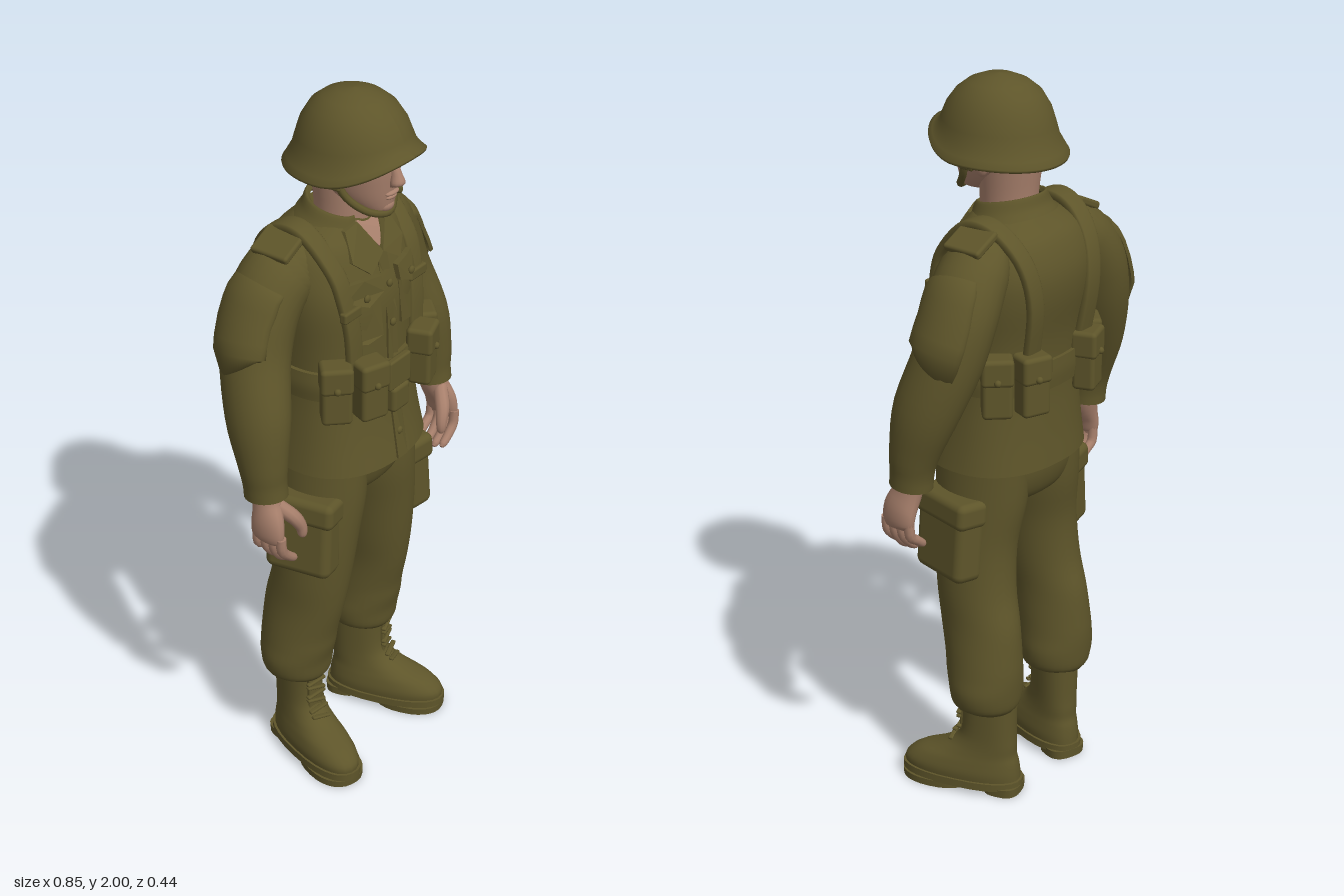
import * as THREE from 'three';
import { RoundedBoxGeometry } from 'three/addons/geometries/RoundedBoxGeometry.js';

const olive = new THREE.MeshStandardMaterial({ color: 0x5e552a, side: THREE.DoubleSide });
olive.name = 'olive cloth';
const skin = new THREE.MeshStandardMaterial({ color: 0xa8806c, side: THREE.DoubleSide });
skin.name = 'skin';

// Rows are [x, y, z, rx, rz]. Rings are smoothed between rows; flat keeps them level.
function loft(rows, { flat = false, seg = 24, sub = 4, n = 2, arc = null, s = 1 } = {}) {
  const mid = new THREE.CatmullRomCurve3(rows.map(r => new THREE.Vector3(r[0] * s, r[1], r[2])), false, 'catmullrom');
  const rad = new THREE.CatmullRomCurve3(rows.map(r => new THREE.Vector3(r[3], r[4], 0)), false, 'catmullrom');
  const N = (rows.length - 1) * sub, pos = [], idx = [];
  const cols = arc ? seg + 1 : seg, [a0, a1] = arc || [0, Math.PI * 2];
  const curve = v => Math.sign(v) * Math.abs(v) ** (2 / n);
  for (let i = 0; i <= N; i++) {
    const c = mid.getPoint(i / N), r = rad.getPoint(i / N);
    const t = flat ? new THREE.Vector3(0, 1, 0) : mid.getTangent(i / N);
    const u = new THREE.Vector3(1, 0, 0).addScaledVector(t, -t.x).normalize();
    const w = u.clone().cross(t);
    for (let j = 0; j < cols; j++) {
      const a = a0 + (a1 - a0) * j / seg, k = arc && (j === 0 || j === seg) ? 0.92 : 1;
      const p = c.clone().addScaledVector(u, curve(Math.cos(a)) * r.x * k).addScaledVector(w, curve(Math.sin(a)) * r.y * k);
      pos.push(p.x, p.y, p.z);
    }
  }
  for (let i = 0; i < N; i++) for (let j = 0; j < seg; j++) {
    const a = i * cols + j, b = i * cols + (j + 1) % cols, c = a + cols, d = b + cols;
    idx.push(a, c, b, b, c, d);
  }
  // end caps with their own corners
  if (!arc) for (const i of [0, N]) {
    const base = pos.length / 3, c = mid.getPoint(i / N);
    for (let j = 0; j < seg; j++) pos.push(...pos.slice((i * seg + j) * 3, (i * seg + j) * 3 + 3));
    pos.push(c.x, c.y, c.z);
    for (let j = 0; j < seg; j++) {
      const k = base + (j + 1) % seg;
      idx.push(base + seg, ...(i ? [k, base + j] : [base + j, k]));
    }
  }
  const g = new THREE.BufferGeometry();
  g.setAttribute('position', new THREE.Float32BufferAttribute(pos, 3));
  g.setIndex(idx);
  g.computeVertexNormals();
  return g;
}

function bend(geo, rule) {
  const p = geo.attributes.position, v = new THREE.Vector3();
  for (let i = 0; i < p.count; i++) {
    v.fromBufferAttribute(p, i);
    rule(v);
    p.setXYZ(i, v.x, v.y, v.z);
  }
  geo.computeVertexNormals();
  return geo;
}

const TORSO = [
  [0, 0.98, 0.005, 0.225, 0.182], [0, 1.08, 0, 0.21, 0.168], [0, 1.2, -0.005, 0.198, 0.158], [0, 1.33, -0.012, 0.2, 0.16],
  [0, 1.45, -0.025, 0.212, 0.17], [0, 1.53, -0.035, 0.21, 0.16], [0, 1.6, -0.035, 0.185, 0.135], [0, 1.64, -0.028, 0.13, 0.105],
  [0, 1.665, -0.022, 0.085, 0.088]];
const POW = 2.3;

// Depth of the jacket surface at x, y on the front (1) or back (-1)
function jacketZ(x, y, side = 1) {
  let i = 0;
  while (i < TORSO.length - 2 && TORSO[i + 1][1] < y) i++;
  const f = THREE.MathUtils.clamp((y - TORSO[i][1]) / (TORSO[i + 1][1] - TORSO[i][1]), 0, 1);
  const [, , z, rx, rz] = TORSO[i].map((v, k) => THREE.MathUtils.lerp(v, TORSO[i + 1][k], f));
  return z + side * rz * Math.max(0, 1 - Math.abs(x / rx) ** POW) ** (1 / POW);
}

export function createModel() {
  const model = new THREE.Group();
  const add = (name, geo, mat = olive, parent = model) => {
    const m = new THREE.Mesh(geo, mat);
    m.name = name;
    parent.add(m);
    return m;
  };
  const ball = (name, x, y, z, rx, ry, rz, mat) =>
    add(name, new THREE.SphereGeometry(1, 16, 12).scale(rx, ry, rz).translate(x, y, z), mat);
  const box = (w, h, d, r = 0.012) => new RoundedBoxGeometry(w, h, d, 3, r);
  // Plate that follows the chest
  const plate = (name, pts, depth, mat = olive) => {
    const shape = new THREE.Shape(pts.map(p => new THREE.Vector2(...p)));
    const g = new THREE.ExtrudeGeometry(shape, { depth, bevelEnabled: false });
    return add(name, bend(g, v => { v.z += jacketZ(v.x, v.y) + 0.001; }), mat);
  };
  const button = (x, y) => ball('button', x, y, jacketZ(x, y) + 0.008, 0.011, 0.011, 0.007);

  // Head and neck
  add('neck', loft([[0, 1.58, -0.01, 0.072, 0.075], [0, 1.68, -0.005, 0.072, 0.078], [0, 1.78, -0.01, 0.08, 0.085]], { flat: true }), skin);
  add('head', loft([[0, 1.69, 0.105, 0.025, 0.025], [0, 1.7, 0.085, 0.045, 0.056], [0, 1.73, 0.055, 0.07, 0.092], [0, 1.77, 0.035, 0.088, 0.117],
    [0, 1.82, 0.03, 0.1, 0.126], [0, 1.88, 0.028, 0.1, 0.126], [0, 1.94, 0.028, 0.07, 0.09]], { flat: true, seg: 32 }), skin);
  add('nose', loft([[0, 1.85, 0.142, 0.011, 0.01], [0, 1.805, 0.158, 0.014, 0.016], [0, 1.78, 0.163, 0.02, 0.02], [0, 1.768, 0.152, 0.014, 0.01]], { flat: true, seg: 12 }), skin);
  ball('upper lip', 0, 1.749, 0.146, 0.026, 0.007, 0.012, skin);
  ball('lower lip', 0, 1.737, 0.142, 0.022, 0.007, 0.012, skin);
  ball('chin', 0, 1.71, 0.125, 0.028, 0.02, 0.022, skin);
  ball('brow', 0, 1.843, 0.125, 0.07, 0.012, 0.032, skin);

  // Helmet: the brim lifts at the front
  const dome = [[0, 1.95], [0.1, 1.9], [0.13, 1.84], [0.16, 1.803], [0.17, 1.797], [0.172, 1.804], [0.162, 1.82], [0.148, 1.845],
    [0.14, 1.875], [0.128, 1.915], [0.105, 1.955], [0.075, 1.98], [0.04, 1.995], [0, 2]];
  add('helmet', bend(new THREE.LatheGeometry(dome.map(p => new THREE.Vector2(...p)), 48), v => {
    const c = v.z / 0.17, k = THREE.MathUtils.clamp((1.95 - v.y) / 0.15, 0, 1);
    v.y += k * c * c * (c > 0 ? 0.062 : -0.01);
    v.z = v.z * 1.085 + 0.028;
  }));
  add('chin strap', new THREE.TubeGeometry(new THREE.CatmullRomCurve3([[-0.115, 1.84, 0.04], [-0.092, 1.75, 0.07], [-0.05, 1.702, 0.115], [0, 1.69, 0.137],
    [0.05, 1.702, 0.115], [0.092, 1.75, 0.07], [0.115, 1.84, 0.04]].map(p => new THREE.Vector3(...p))), 32, 0.01, 8));

  // Jacket
  add('jacket', loft(TORSO, { flat: true, seg: 48, n: POW }));
  add('collar', bend(loft([[0, 1.63, -0.012, 0.128, 0.115], [0, 1.655, -0.012, 0.108, 0.1], [0, 1.685, -0.012, 0.09, 0.09], [0, 1.675, -0.012, 0.078, 0.078]],
    { flat: true, arc: [Math.PI / 2 + 0.5, Math.PI * 2.5 - 0.5] }), v => { v.y -= 0.22 * v.z; }));
  plate('open neck', [[-0.05, 1.658], [-0.03, 1.62], [0, 1.585], [0.03, 1.62], [0.05, 1.658]], 0.005, skin);
  plate('placket', [[-0.02, 0.985], [0.02, 0.985], [0.02, 1.2], [0.02, 1.4], [0.02, 1.57], [-0.02, 1.57], [-0.02, 1.4], [-0.02, 1.2]], 0.006);
  for (const y of [1.06, 1.38, 1.49]) button(0, y);

  // Belt and buckle
  add('belt', loft([[0, 1.2, -0.006, 0.208, 0.168], [0, 1.24, -0.006, 0.212, 0.172], [0, 1.28, -0.008, 0.209, 0.169]], { flat: true, seg: 48, n: POW }));
  add('buckle', box(0.09, 0.085, 0.02, 0.006)).position.set(0, 1.24, 0.172);
  add('buckle tab', box(0.07, 0.075, 0.04)).position.set(0, 1.165, 0.168);

  for (const s of [1, -1]) {
    const side = s > 0 ? 'left ' : 'right ';
    const mir = pts => pts.map(([x, y]) => [x * s, y]);
    const L = (name, rows, opt = {}, mat = olive) => add(side + name, loft(rows, { ...opt, s }), mat);

    ball(side + 'ear', 0.098 * s, 1.79, 0.005, 0.014, 0.034, 0.022, skin);
    ball(side + 'eye', 0.038 * s, 1.815, 0.134, 0.019, 0.011, 0.014, skin);
    add(side + 'strap tab', box(0.014, 0.085, 0.045, 0.006)).position.set(0.108 * s, 1.81, 0.045);

    // Lapel and chest pocket
    plate(side + 'lapel', mir([[0.045, 1.66], [0.085, 1.645], [0.105, 1.575], [0.06, 1.535], [0, 1.575]]), 0.012);
    plate(side + 'chest pocket', mir([[0.04, 1.505], [0.04, 1.36], [0.09, 1.35], [0.14, 1.36], [0.145, 1.505], [0.09, 1.51]]), 0.008);
    plate(side + 'pocket flap', mir([[0.035, 1.525], [0.035, 1.485], [0.092, 1.46], [0.15, 1.485], [0.15, 1.525], [0.092, 1.53]]), 0.016);
    ball(side + 'flap button', 0.095 * s, 1.485, jacketZ(0.095, 1.485) + 0.018, 0.011, 0.011, 0.007);

    // Suspender over the shoulder
    const on = (x, y, f) => [x, y, jacketZ(x, y, f) + f * 0.01, 0.028, 0.012];
    L('suspender', [on(0.13, 1.29, 1), on(0.135, 1.4, 1), on(0.145, 1.49, 1), on(0.15, 1.56, 1), [0.155, 1.637, 0.015, 0.03, 0.013],
      [0.152, 1.658, -0.045, 0.032, 0.013], [0.145, 1.632, -0.11, 0.03, 0.013], on(0.13, 1.56, -1), on(0.115, 1.45, -1), on(0.105, 1.29, -1)], { seg: 16, n: 4 });
    const pad = add(side + 'shoulder pad', box(0.09, 0.022, 0.115, 0.008));
    pad.position.set(0.208 * s, 1.627, -0.052);
    pad.rotation.z = -0.45 * s;
    add(side + 'strap clip', box(0.07, 0.03, 0.022, 0.006)).position.set(0.14 * s, 1.455, jacketZ(0.14, 1.455) + 0.013);

    // Belt pouches
    for (const [x, z, turn] of [[0.115, 0.168, 0.35], [0.187, 0.113, 0.8], [0.115, -0.176, Math.PI - 0.35], [0.187, -0.118, Math.PI - 0.8]]) {
      const pouch = new THREE.Group();
      pouch.name = side + 'pouch';
      add('pouch body', box(0.08, 0.16, 0.062), olive, pouch);
      add('pouch lid', box(0.086, 0.075, 0.072), olive, pouch).position.y = 0.048;
      add('pouch stud', new THREE.SphereGeometry(0.01, 10, 8), olive, pouch).position.set(0, 0.025, 0.036);
      pouch.position.set(x * s, 1.24, z);
      pouch.rotation.y = turn * s;
      model.add(pouch);
    }

    // Sleeve, with a patch pocket on the outside
    L('sleeve', [[0.12, 1.56, -0.04, 0.07, 0.09], [0.2, 1.54, -0.055, 0.085, 0.098], [0.262, 1.455, -0.065, 0.09, 0.1], [0.303, 1.34, -0.055, 0.087, 0.095],
      [0.345, 1.2, -0.015, 0.078, 0.09], [0.362, 1.09, 0.01, 0.063, 0.07], [0.364, 1.03, 0.018, 0.056, 0.06], [0.364, 0.99, 0.022, 0.055, 0.06]]);
    const out = s > 0 ? 0 : Math.PI;
    L('sleeve pocket', [[0.228, 1.51, -0.06, 0.085, 0.095], [0.24, 1.493, -0.062, 0.1, 0.11], [0.27, 1.43, -0.065, 0.103, 0.112],
      [0.298, 1.355, -0.057, 0.104, 0.112], [0.301, 1.345, -0.055, 0.084, 0.094]], { arc: [out - 0.9, out + 0.9], sub: 2 });

    // Hand
    L('palm', [[0.362, 1.02, 0.022, 0.036, 0.042], [0.37, 0.97, 0.03, 0.034, 0.042], [0.385, 0.925, 0.042, 0.028, 0.05], [0.39, 0.885, 0.046, 0.021, 0.05],
      [0.388, 0.868, 0.046, 0.012, 0.04]], { seg: 16 }, skin);
    for (let i = 0; i < 4; i++) {
      const z = 0.088 - i * 0.026, d = [0.008, 0, 0.003, 0.016][i];
      L('finger', [[0.389, 0.89, z, 0.014, 0.014], [0.385, 0.85, z, 0.014, 0.014], [0.362, 0.815 + d, z, 0.013, 0.013],
        [0.338, 0.797 + d, z, 0.011, 0.011], [0.328, 0.792 + d, z, 0.004, 0.004]], { seg: 10, sub: 3 }, skin);
    }
    L('thumb', [[0.365, 0.97, 0.055, 0.02, 0.02], [0.335, 0.93, 0.085, 0.02, 0.02], [0.316, 0.895, 0.096, 0.016, 0.016], [0.312, 0.868, 0.098, 0.012, 0.012],
      [0.312, 0.858, 0.098, 0.004, 0.004]], { seg: 10 }, skin);

    // Trouser leg, bloused over the boot
    L('trouser leg', [[0.152, 0.265, -0.05, 0.072, 0.082], [0.152, 0.285, -0.05, 0.095, 0.094], [0.153, 0.33, -0.05, 0.104, 0.1], [0.152, 0.38, -0.045, 0.099, 0.108],
      [0.15, 0.43, -0.04, 0.095, 0.111], [0.145, 0.52, -0.025, 0.09, 0.118], [0.138, 0.62, -0.006, 0.095, 0.115], [0.127, 0.75, 0.004, 0.099, 0.12],
      [0.11, 0.88, 0, 0.103, 0.136], [0.105, 1.02, -0.005, 0.095, 0.14]], { flat: true, seg: 28 });
    const cargo = add(side + 'cargo pocket', box(0.09, 0.22, 0.19, 0.025));
    cargo.position.set(0.212 * s, 0.785, 0.022);
    const flap = add(side + 'cargo flap', box(0.098, 0.075, 0.205, 0.02));
    flap.position.set(0.208 * s, 0.87, 0.022);
    cargo.rotation.set(0, -0.2 * s, 0.08 * s);
    flap.rotation.copy(cargo.rotation);

    // Boot, toes turned out
    const boot = new THREE.Group();
    boot.name = side + 'boot';
    boot.position.set(0.143 * s, 0, -0.05);
    boot.rotation.y = 0.3 * s;
    model.add(boot);
    const solid = (name, rows, n) => add(name, loft(rows, { flat: true, seg: 28, n }), olive, boot);
    solid('boot upper', [[0, 0.03, 0.078, 0.068, 0.17], [0, 0.06, 0.078, 0.071, 0.168], [0, 0.09, 0.062, 0.066, 0.148], [0, 0.115, 0.035, 0.06, 0.115],
      [0, 0.145, 0.01, 0.056, 0.09], [0, 0.19, -0.002, 0.055, 0.077], [0, 0.3, -0.004, 0.058, 0.077]], 2.3);
    solid('sole', [[0, 0.018, 0.078, 0.075, 0.176], [0, 0.04, 0.078, 0.075, 0.176]], 2.4);
    solid('sole front', [[0, 0, 0.15, 0.073, 0.102], [0, 0.02, 0.15, 0.074, 0.103]], 2.3);
    solid('heel', [[0, 0, -0.045, 0.056, 0.052], [0, 0.025, -0.045, 0.058, 0.053]], 2.8);
    add('tongue', box(0.045, 0.16, 0.018, 0.006), olive, boot).position.set(0, 0.215, 0.07);
    for (let i = 0; i < 6; i++) {
      const lace = add('lace', box(0.06, 0.009, 0.014, 0.004), olive, boot);
      lace.position.set(0, 0.145 + i * 0.022, 0.079 + Math.max(0, 2 - i) * 0.012);
      lace.rotation.z = i % 2 ? 0.2 : -0.2;
    }
  }

  // Seat of the trousers
  add('trouser seat', loft([[0, 0.86, -0.005, 0.09, 0.09], [0, 0.89, -0.005, 0.165, 0.125], [0, 0.95, -0.005, 0.2, 0.145], [0, 1.03, 0, 0.2, 0.155]],
    { flat: true, seg: 40, n: 2.3 }));
  return model;
}
